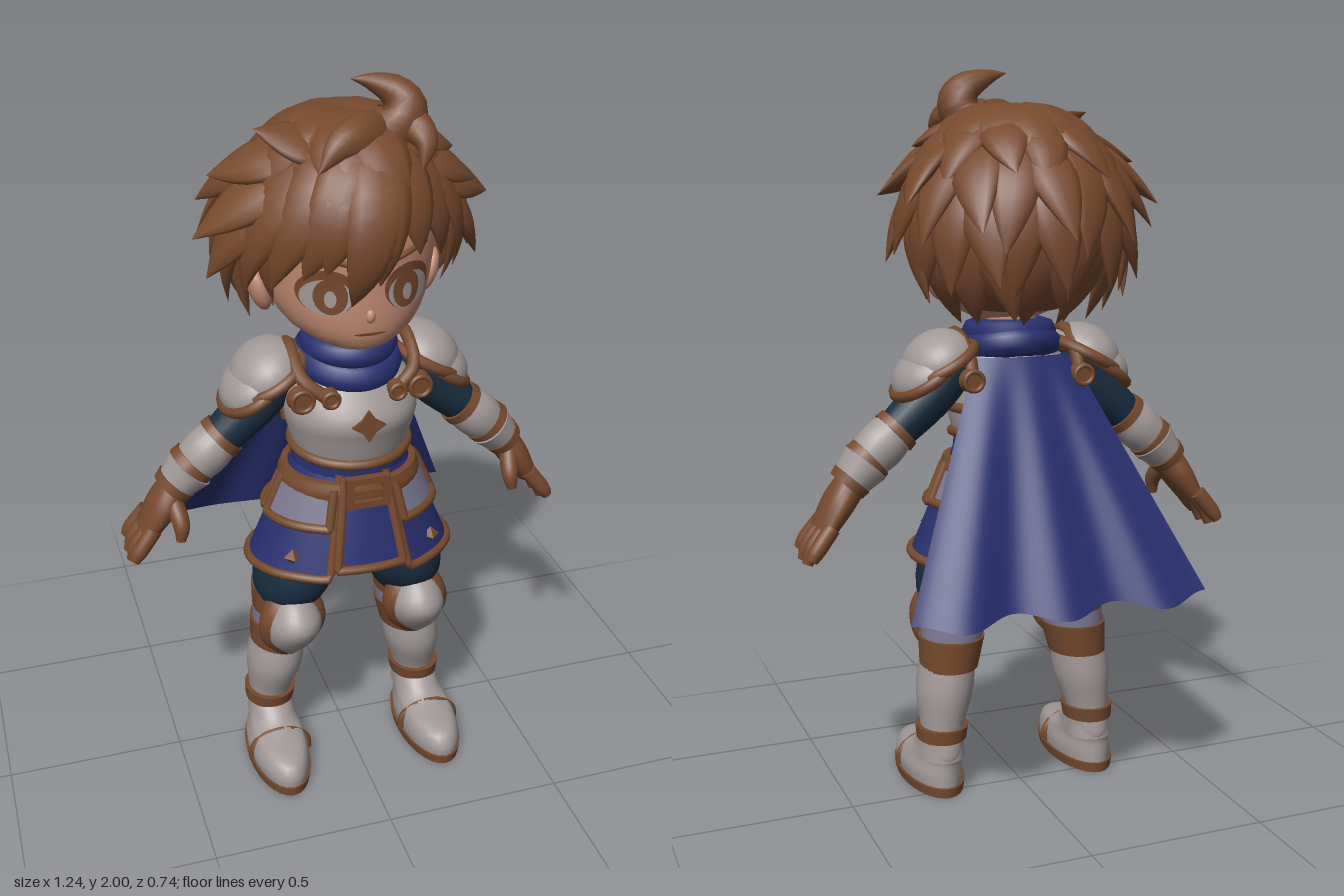
import * as THREE from 'three';

const V = (x, y, z) => new THREE.Vector3(x, y, z);
const paint = (name, color, side = THREE.FrontSide) => {
  const m = new THREE.MeshStandardMaterial({ color, side });
  m.name = name;
  return m;
};
const brown = paint('brown', 0x75492d, THREE.DoubleSide);
const steel = paint('steel', 0xa19998);
const lilac = paint('lilac grey', 0x7c7990, THREE.DoubleSide);
const blue = paint('blue', 0x283070, THREE.DoubleSide);
const navy = paint('navy', 0x192d40);
const skin = paint('skin', 0xc08b72);

// Grid surface; its front is (u direction) x (v direction)
function grid(f, nu, nv, closed = false) {
  const pos = [], idx = [], cols = closed ? nu : nu + 1;
  for (let j = 0; j <= nv; j++) for (let i = 0; i < cols; i++) pos.push(...f(i / nu, j / nv, j).toArray());
  for (let j = 0; j < nv; j++) for (let i = 0; i < nu; i++) {
    const k = (i + 1) % cols, a = j * cols + i, b = j * cols + k;
    idx.push(a, b, b + cols, a, b + cols, a + cols);
  }
  const g = new THREE.BufferGeometry();
  g.setAttribute('position', new THREE.Float32BufferAttribute(pos, 3));
  g.setIndex(idx);
  g.computeVertexNormals();
  return g;
}

const curves = rings => [
  new THREE.CatmullRomCurve3(rings.map(r => V(r[0], r[1], r[2])), false, 'catmullrom', 0.5),
  new THREE.CatmullRomCurve3(rings.map(r => V(r[3], r[4] ?? r[3], 0)), false, 'catmullrom', 0.5),
];

// Capped elliptical sweep through rings [x, y, z, half width, half thickness]
function sweep(rings, normal, { level = false, sides = 20, rows = 14 } = {}) {
  const [path, size] = curves(rings);
  const last = rows + 4;
  return grid((u, v, j) => {
    const t = Math.min(1, Math.max(0, (j - 2) / rows));
    const p = path.getPoint(t), s = size.getPoint(t);
    const T = level ? V(0, 1, 0) : path.getTangent(t);
    const n = (typeof normal === 'function' ? normal(p) : normal.clone());
    n.addScaledVector(T, -n.dot(T)).normalize();
    const side = T.clone().cross(n), k = j === 0 || j === last ? 0 : 1, a = u * Math.PI * 2;
    return p.addScaledVector(side, k * s.x * Math.sin(a)).addScaledVector(n, k * s.y * Math.cos(a));
  }, sides, last, true);
}
const loft = (rings, sides = 28) => sweep(rings, V(0, 0, 1), { level: true, sides });
const tube = (pts, r, closed = false) => new THREE.TubeGeometry(
  new THREE.CatmullRomCurve3(pts, closed), pts.length * 4, r, 8, closed);
const hoop = (y, z, rx, rz, r, dip = 0) => tube(Array.from({ length: 20 }, (_, i) => {
  const a = i / 20 * Math.PI * 2;
  return V(rx * Math.sin(a), y - dip * Math.cos(a), z + rz * Math.cos(a));
}), r, true);

function add(parent, name, geo, mat) {
  const m = new THREE.Mesh(geo, mat);
  m.name = name;
  parent.add(m);
  return m;
}
function mirror(group, name) {
  const out = new THREE.Group();
  out.name = name;
  group.updateMatrixWorld(true);
  group.traverse(o => {
    if (!o.isMesh) return;
    const g = o.geometry.clone().applyMatrix4(o.matrixWorld).scale(-1, 1, 1);
    g.setIndex(Array.from(g.index.array).reverse());
    add(out, o.name, g, o.material);
  });
  return out;
}

// Head, face and eyes
const HEAD = [[0, 1.32, .14, .04, .05], [0, 1.34, .13, .1, .12], [0, 1.38, .1, .165, .17], [0, 1.44, .075, .205, .2],
  [0, 1.52, .06, .225, .212], [0, 1.62, .05, .235, .225], [0, 1.72, .05, .19, .19], [0, 1.8, .05, .08, .08]];
function faceZ(x, y) {
  const [path, size] = curves(HEAD);
  let lo = 0, hi = 1;
  for (let i = 0; i < 18; i++) { const m = (lo + hi) / 2; path.getPoint(m).y < y ? lo = m : hi = m; }
  const s = size.getPoint(lo);
  return path.getPoint(lo).z + s.y * Math.sqrt(Math.max(0, 1 - (x / s.x) ** 2));
}
const patch = (cx, cy, rx, ry, off) => grid((u, v) => {
  const a = u * Math.PI * 2, x = cx + rx * v * Math.sin(a), y = cy + ry * v * Math.cos(a);
  return V(x, y, faceZ(x, y) + off);
}, 24, 4, true);

function buildHead(root, left) {
  add(root, 'head', loft(HEAD, 36), skin);
  add(root, 'neck', loft([[0, 1.22, .07, .07, .07], [0, 1.38, .07, .07, .07]]), skin);
  const nose = add(root, 'nose', new THREE.SphereGeometry(1, 12, 8), skin);
  nose.scale.set(.014, .02, .016);
  nose.position.set(0, 1.437, .268);
  add(root, 'mouth', patch(0, 1.39, .042, .004, .003), brown);
  const ear = add(left, 'ear', new THREE.SphereGeometry(1, 16, 12), skin);
  ear.scale.set(.028, .065, .046);
  ear.position.set(.228, 1.455, .045);
  ear.rotation.z = -.3;
  add(left, 'eyeLash', patch(.105, 1.502, .069, .06, .002), brown);
  add(left, 'eyeWhite', patch(.106, 1.49, .06, .048, .004), steel);
  add(left, 'iris', patch(.098, 1.494, .04, .048, .006), brown);
  add(left, 'pupil', patch(.1, 1.488, .014, .022, .008), steel);
  add(left, 'eyebrow', tube([.05, .1, .16].map((x, i) => V(x, 1.575 + .014 * i, faceZ(x, 1.575 + .014 * i))), .008), brown);
}

// Hair: a cap covered by tapered locks, placed by azimuth and elevation in degrees; pinched at the temples
const C = V(0, 1.62, .06);
const onHair = (az, el, k) => V(.28 * Math.cos(el) * Math.sin(az), .27 * Math.sin(el), .29 * Math.cos(el) * Math.cos(az))
  .multiplyScalar(k * (Math.cos(az) > 0 ? 1 - .09 * Math.sin(2 * az) ** 2 * Math.cos(el) : 1)).add(C);
function buildHair(root) {
  const hair = new THREE.Group();
  hair.name = 'hair';
  root.add(hair);
  add(hair, 'hairCap', grid((u, v) => {
    const az = u * Math.PI * 2, low = -.4 + .68 * Math.cos(az);
    return onHair(az, low + (Math.PI / 2 - low) * v, .97);
  }, 40, 16, true), brown);
  add(hair, 'napeHair', loft([[0, 1.365, .04, .12, .125], [0, 1.44, .03, .198, .18], [0, 1.6, .02, .22, .22]]), brown);
  const lock = (a0, e0, a1, e1, flare, w) => {
    const rings = [];
    for (let i = 0; i <= 7; i++) {
      const v = i / 7, d = Math.PI / 180;
      const p = onHair((a0 + (a1 - a0) * v) * d, (e0 + (e1 - e0) * v) * d, .95 + .05 * Math.sin(v * Math.PI) + (flare + .03) * Math.pow(v, 2.3));
      const r = w * (1 - v) * (.7 + 1.9 * v) + .001;
      rings.push([p.x, p.y, p.z, r, r * .38]);
    }
    add(hair, 'hairLock', sweep(rings, p => p.clone().sub(C), { sides: 10, rows: 12 }), brown);
  };
  // bangs
  [[10, 70, -14, -30, .05, .09], [0, 72, -40, -15, .1, .09], [-20, 70, -58, -22, .17, .09], [5, 65, 0, -16, .04, .085],
    [20, 72, 24, -4, .04, .085], [35, 70, 48, -12, .06, .085], [50, 65, 70, -24, .13, .08], [-40, 65, -76, -26, .2, .085],
    [-10, 60, -27, -10, .08, .085], [55, 50, 64, -32, .1, .055], [-55, 45, -66, -34, .1, .055],
    // side spikes
    [-55, 62, -74, 47, .42, .09], [-70, 35, -85, 0, .47, .09], [-75, 52, -95, 22, .36, .09], [-75, 20, -88, -18, .4, .085],
    [-85, 15, -108, -38, .4, .07], [70, 35, 85, 8, .36, .09], [75, 18, 88, -20, .37, .085], [85, 10, 108, -40, .33, .07],
    [70, 62, 82, 34, .2, .09], [60, 50, 76, 18, .26, .085],
    [95, 45, 117, 4, .46, .085], [-95, 45, -117, 4, .42, .085]].forEach(l => lock(...l));
  // crown
  for (let i = 0; i < 13; i++) lock(i * 27.7, 89, i * 27.7 + 16, 18 + 10 * (i % 2), .06, .1);
  // layered back
  [[14, 7, .16, 96], [-12, 9, .33, 98], [-34, 9, .34, 110], [-54, 8, .3, 114]].forEach(([el, n, flare, start], r) => {
    for (let i = 0; i < n; i++) {
      const az = start + (360 - 2 * start) * i / (n - 1), j = ((i * 7 + r * 5) % 5 - 2);
      lock(az - j * 3, el + 54, az + j * 4, el + j * 3, flare + j * .025, .078);
    }
  });
  // curled tuft
  const tufts = [[[.06, 1.83, .14, .075, .07], [.115, 1.9, .15, .065, .07], [.105, 1.95, .14, .045, .05], [.045, 1.98, .13, .022, .025], [-.01, 1.992, .13, .001]],
    [[.08, 1.84, .13, .06, .05], [0, 1.87, .2, .06, .045], [-.07, 1.86, .24, .04, .03], [-.13, 1.81, .27, .001]],
    [[.08, 1.84, .14, .05, .04], [.13, 1.88, .18, .045, .04], [.15, 1.85, .23, .03, .025], [.13, 1.79, .26, .001]]];
  tufts.forEach(t => add(hair, 'hairTuft', sweep(t, V(0, .3, 1), { sides: 12 }), brown));
}

// Skirt surface by azimuth and fall (0 waist, 1 hem)
const skirt = (a, v, off) => V((.16 + .125 * v + off) * Math.sin(a), .97 - v * (.275 + .015 * (1 - Math.cos(a))),
  .09 + (.14 + .075 * v + off) * Math.cos(a));
function panel(parent, name, a0, a1, v0, v1, off, mat) {
  const at = (u, v) => skirt(a0 + (a1 - a0) * u, v0 + (v1 - v0) * v, off);
  add(parent, name, grid((u, v) => at(u, 1 - v), 36, 8), mat);
  const edge = [at(0, 0), at(0, .5), at(0, .96)];
  for (let i = 0; i <= 16; i++) edge.push(at(i / 16, 1));
  edge.push(at(1, .96), at(1, .5), at(1, 0));
  add(parent, name + 'Trim', tube(edge, .013), brown);
}

function buildTorso(root, left) {
  add(root, 'tunic', loft([[0, .82, .09, .15, .13], [0, .9, .09, .165, .142], [0, 1.04, .097, .15, .138]]), blue);
  add(root, 'breastplate', loft([[0, 1.015, .097, .155, .145], [0, 1.07, .1, .17, .157], [0, 1.13, .105, .18, .165],
    [0, 1.2, .09, .165, .14], [0, 1.27, .08, .1, .1]], 36), steel);
  add(root, 'breastplateTrim', hoop(1.02, .097, .158, .15, .014, .015), brown);
  add(root, 'backStrap', tube(Array.from({ length: 12 }, (_, i) => {
    const a = Math.PI * (.55 + .9 * i / 11);
    return V(.172 * Math.sin(a), 1.095, .102 + .16 * Math.cos(a));
  }), .016), brown);
  const star = new THREE.Shape();
  for (let i = 0; i < 8; i++) {
    const r = i % 2 ? .026 : .046, a = i * Math.PI / 4;
    star[i ? 'lineTo' : 'moveTo'](r * Math.sin(a), r * Math.cos(a));
  }
  add(root, 'chestOrnament', new THREE.ExtrudeGeometry(star, { depth: .009, bevelEnabled: false }), brown).position.set(0, 1.13, .266);
  // scarf and cape
  add(root, 'scarfLower', hoop(1.257, .085, .1, .105, .045, .024), blue);
  add(root, 'scarfUpper', hoop(1.298, .085, .095, .1, .036, .004), blue);
  add(root, 'cape', grid((u, v) => {
    const s = 2 * u - 1, fold = Math.cos(3 * Math.PI * s) * (1 - v);
    return V(s * (.42 - .28 * v), .6 + .64 * v - .012 * fold, -.335 + .285 * v - .024 * fold + .03 * s * s * v);
  }, 48, 16), blue);
  // skirt, belt and buckle
  panel(root, 'skirt', .4, Math.PI * 2 - .4, 0, 1, 0, blue);
  panel(root, 'frontPanel', -.33, .33, 0, .9, .012, blue);
  panel(left, 'hipPlate', .46, 1.5, .12, .5, .014, lilac);
  panel(left, 'backHipPlate', 1.62, 2.75, .12, .48, .014, lilac);
  add(root, 'belt', loft([[0, .905, .09, .196, .174], [0, .925, .09, .196, .174], [0, .952, .09, .186, .166]], 36), brown);
  const frame = new THREE.Shape([[-.06, -.045], [.06, -.045], [.06, .045], [-.06, .045]].map(p => new THREE.Vector2(...p)));
  frame.holes.push(new THREE.Path([[-.04, -.026], [-.04, .026], [.04, .026], [.04, -.026]].map(p => new THREE.Vector2(...p))));
  add(root, 'buckle', new THREE.ExtrudeGeometry(frame, { depth: .022, bevelEnabled: false }), brown).position.set(0, .935, .255);
  add(root, 'bucklePin', new THREE.BoxGeometry(.08, .012, .012), brown).position.set(0, .935, .268);
  const diamond = add(left, 'skirtStud', new THREE.OctahedronGeometry(.025).toNonIndexed(), brown);
  diamond.geometry.setIndex([...Array(24).keys()]);
  diamond.position.copy(skirt(.85, .82, 0));
}

function buildArm(g) {
  const out = V(.7, .7, 0);
  const limb = (name, rings, mat) => add(g, name, sweep(rings, out, { rows: 10 }), mat);
  // shoulder armour: two overlapping domes with rims
  [[.215, 1.222, .105, .088, .118, -.5], [.255, 1.19, .096, .07, .112, -.6]].forEach(([x, y, rx, ry, rz, tilt]) => {
    const p = new THREE.Group();
    p.name = 'pauldron';
    p.position.set(x, y, .06);
    p.rotation.z = tilt;
    g.add(p);
    add(p, 'pauldronPlate', new THREE.SphereGeometry(1, 24, 12, 0, Math.PI * 2, 0, Math.PI / 2), steel).scale.set(rx, ry, rz);
    add(p, 'pauldronTrim', tube(Array.from({ length: 16 }, (_, i) => V(rx * Math.sin(i * Math.PI / 8), 0, rz * Math.cos(i * Math.PI / 8))), .016, true), brown);
  });
  [[.16, 1.195, .2, .037], [.09, 1.2, .222, .026], [.16, 1.185, -.06, .034]].forEach(([x, y, z, r]) => {
    const dir = z < 0 ? -1 : 1;
    const stud = add(g, 'strapStud', new THREE.CylinderGeometry(r * .8, r, .03, 20), brown);
    stud.position.set(x, y, z);
    stud.rotation.x = dir * Math.PI / 2;
    add(g, 'strapStudRing', new THREE.TorusGeometry(r * .75, .007, 8, 20), brown).position.set(x, y, z + .014 * dir);
  });
  add(g, 'shoulderStrap', tube([V(.1, 1.2, .21), V(.15, 1.24, .18), V(.16, 1.3, .08), V(.155, 1.25, -.02), V(.155, 1.19, -.05)], .018), brown);
  limb('sleeve', [[.17, 1.22, .05, .065], [.25, 1.13, .05, .066], [.36, 1.028, .05, .054]], navy);
  limb('vambrace', [[.338, 1.048, .05, .058], [.385, 1.006, .05, .067], [.44, .955, .045, .056]], steel);
  limb('vambraceTrim', [[.332, 1.053, .05, .064], [.35, 1.037, .05, .067]], brown);
  limb('wristBand', [[.415, .978, .045, .066], [.435, .96, .045, .068]], brown);
  limb('gauntletCuff', [[.43, .963, .045, .074, .068], [.475, .915, .042, .058, .052]], steel);
  limb('gauntletTrim', [[.468, .923, .042, .066, .058], [.485, .904, .042, .062, .054]], brown);
  // glove
  limb('palm', [[.47, .915, .04, .05, .044], [.51, .86, .04, .068, .043], [.555, .79, .035, .066, .031]], brown);
  [-.03, .012, .054, .09].forEach((z, i) => limb('finger', [[.545, .81, z, .023], [.588, .755, z * 1.15 - .005, .022],
    [.605, .708 + (i % 3 ? 0 : .02), z * 1.2 - .008, .015]], brown));
  limb('thumb', [[.485, .88, .075, .026], [.475, .83, .118, .023], [.48, .785, .128, .013]], brown);
}

function buildLeg(g) {
  const part = (name, rings, mat) => add(g, name, loft(rings), mat);
  part('trouserLeg', [[.175, .51, .07, .08, .09], [.165, .59, .085, .11, .13], [.135, .7, .085, .118, .13], [.1, .78, .085, .1, .12], [.08, .86, .085, .07, .1]], navy);
  // knee armour
  part('kneeWrap', [[.195, .37, .05, .078, .088], [.185, .46, .06, .088, .099], [.18, .55, .065, .084, .1]], lilac);
  part('kneeBandTop', [[.183, .492, .064, .091, .105], [.18, .565, .068, .096, .11]], brown);
  part('kneeBandBottom', [[.198, .36, .05, .082, .092], [.187, .447, .058, .093, .106]], brown);
  const knee = [[.19, .37, .13, .012, .03], [.187, .43, .15, .066, .07], [.182, .5, .16, .078, .1], [.18, .56, .15, .05, .07], [.18, .59, .14, .01, .02]];
  part('kneePlate', knee, steel);
  part('kneePlateTrim', knee.map(([x, y, z, w, t]) => [x, .48 + (y - .48) * 1.1, z - .005, w + .017, t * .6]), brown);
  // boot
  part('bootShaft', [[.228, .1, .03, .064, .074], [.225, .18, .035, .06, .07], [.212, .29, .05, .08, .094], [.2, .39, .052, .076, .086]], steel);
  part('ankleBand', [[.227, .155, .036, .07, .08], [.225, .192, .038, .074, .085]], brown);
  part('foot', [[.232, .02, .14, .08, .183], [.232, .055, .14, .083, .182], [.23, .09, .125, .074, .165], [.228, .115, .065, .066, .11], [.226, .16, .038, .062, .076]], steel);
  part('sole', [[.232, 0, .138, .084, .188], [.232, .026, .138, .088, .19]], brown);
  const half = [[.083, .03], [.079, .065], [.052, .094]];
  add(g, 'bootStrap', tube([...half.map(([x, y]) => V(.23 - x, y, .165)), V(.23, .108, .165),
    ...half.reverse().map(([x, y]) => V(.23 + x, y, .165))], .012), brown);
}

export function createModel() {
  const root = new THREE.Group(), left = new THREE.Group();
  root.name = 'youngKnight';
  left.name = 'leftSide';
  buildHead(root, left);
  buildHair(root);
  buildTorso(root, left);
  buildArm(left);
  buildLeg(left);
  root.add(mirror(left, 'rightSide'), left);
  return root;
}
